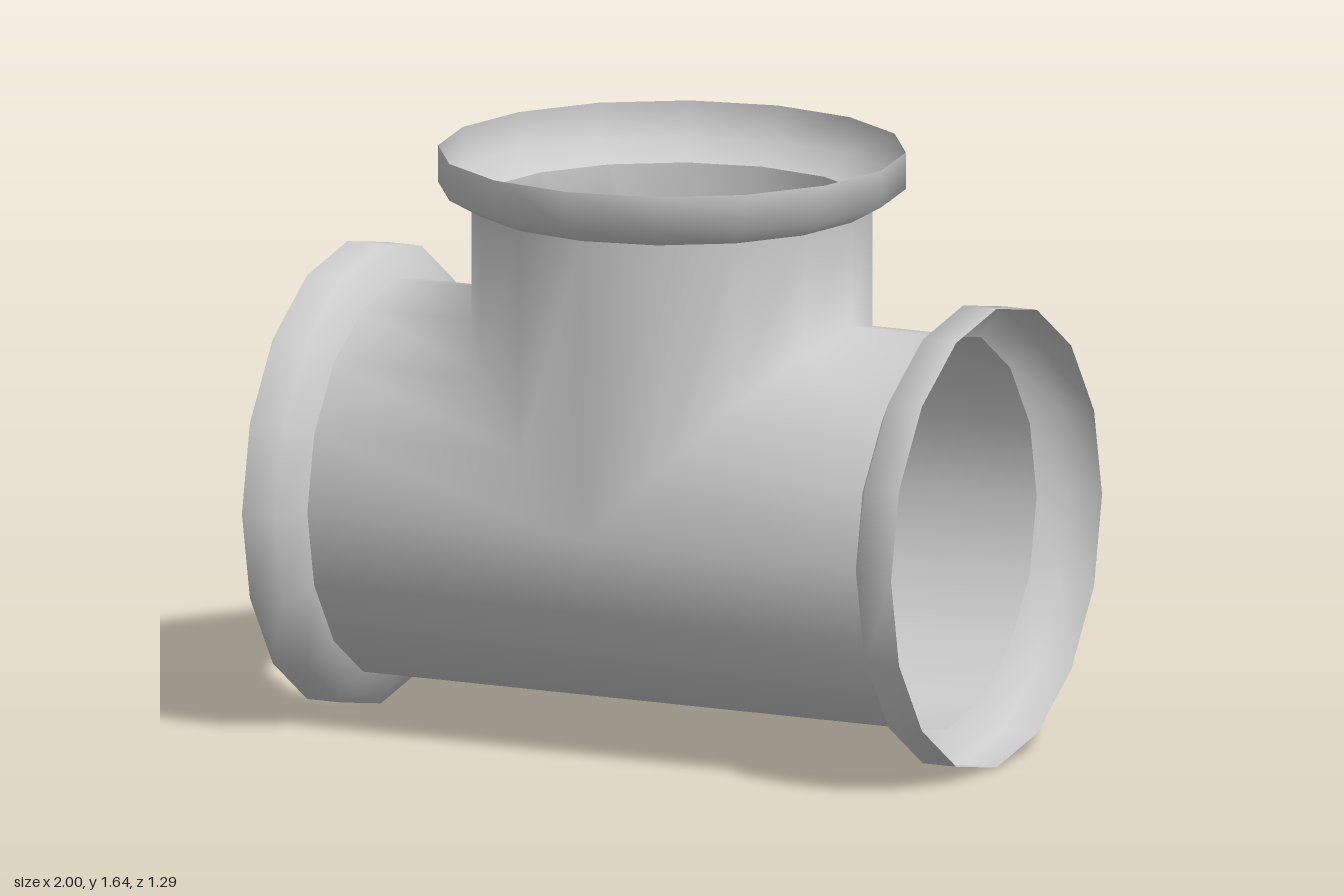
import * as THREE from 'three';
import { mergeVertices } from 'three/addons/utils/BufferGeometryUtils.js';

const SIDES = 16;
const PIPE_R = 0.553;    // radius of both pipes
const FLANGE_R = 0.645;  // radius of the flared ends, also the axis height
const NECK = 0.845;      // distance from the centre to where a flare begins

// Thin-walled tee: three pipe arms that meet along their common mitre seam
function teeBody() {
  const positions = [];

  // One arm: skin between the seam ring and the end ring
  const arm = (seam, end, flip) => {
    for (let i = 0; i < SIDES; i++) {
      const a0 = (i / SIDES) * Math.PI * 2;
      const a1 = (((i + 1) % SIDES) / SIDES) * Math.PI * 2;
      const quad = [seam(a0), seam(a1), end(a1), end(a0)];
      if (flip) quad.reverse();
      for (const k of [0, 1, 2, 0, 2, 3]) positions.push(...quad[k]);
    }
  };

  const up = (a, y) => [PIPE_R * Math.sin(a), y, PIPE_R * Math.cos(a)];
  const across = (a, x) => [x, PIPE_R * Math.cos(a), PIPE_R * Math.sin(a)];

  // Upright branch, cut by the run along y = |x|
  arm((a) => up(a, PIPE_R * Math.abs(Math.sin(a))), (a) => up(a, NECK), false);

  // Two halves of the run, leaving the branch opening on top
  for (const s of [1, -1]) {
    arm((a) => across(a, s * PIPE_R * Math.max(0, Math.cos(a))),
      (a) => across(a, s * NECK), s < 0);
  }

  // Drop the zero-area triangles, then weld for smooth normals across the seam
  const kept = [];
  const tri = new THREE.Triangle();
  for (let i = 0; i < positions.length; i += 9) {
    tri.a.fromArray(positions, i);
    tri.b.fromArray(positions, i + 3);
    tri.c.fromArray(positions, i + 6);
    if (tri.getArea() > 1e-6) kept.push(...positions.slice(i, i + 9));
  }
  const geometry = new THREE.BufferGeometry();
  geometry.setAttribute('position', new THREE.Float32BufferAttribute(kept, 3));
  const welded = mergeVertices(geometry, 1e-4);
  welded.computeVertexNormals();
  return welded;
}

export function createModel() {
  const model = new THREE.Group();
  model.name = 'pipeTee';
  const material = new THREE.MeshStandardMaterial({ color: 0xcccccc, side: THREE.DoubleSide });

  const add = (name, geometry) => {
    const mesh = new THREE.Mesh(geometry, material);
    mesh.name = name;
    mesh.position.y = FLANGE_R;
    model.add(mesh);
    return mesh;
  };

  add('teeBody', teeBody());

  // Flared socket: a cone opening into a short collar
  const flare = new THREE.LatheGeometry([
    new THREE.Vector2(PIPE_R, NECK),
    new THREE.Vector2(FLANGE_R, 0.897),
    new THREE.Vector2(FLANGE_R, 1),
  ], SIDES);

  add('topFlange', flare);
  add('leftFlange', flare).rotation.z = -Math.PI / 2;
  add('rightFlange', flare).rotation.z = Math.PI / 2;

  return model;
}
